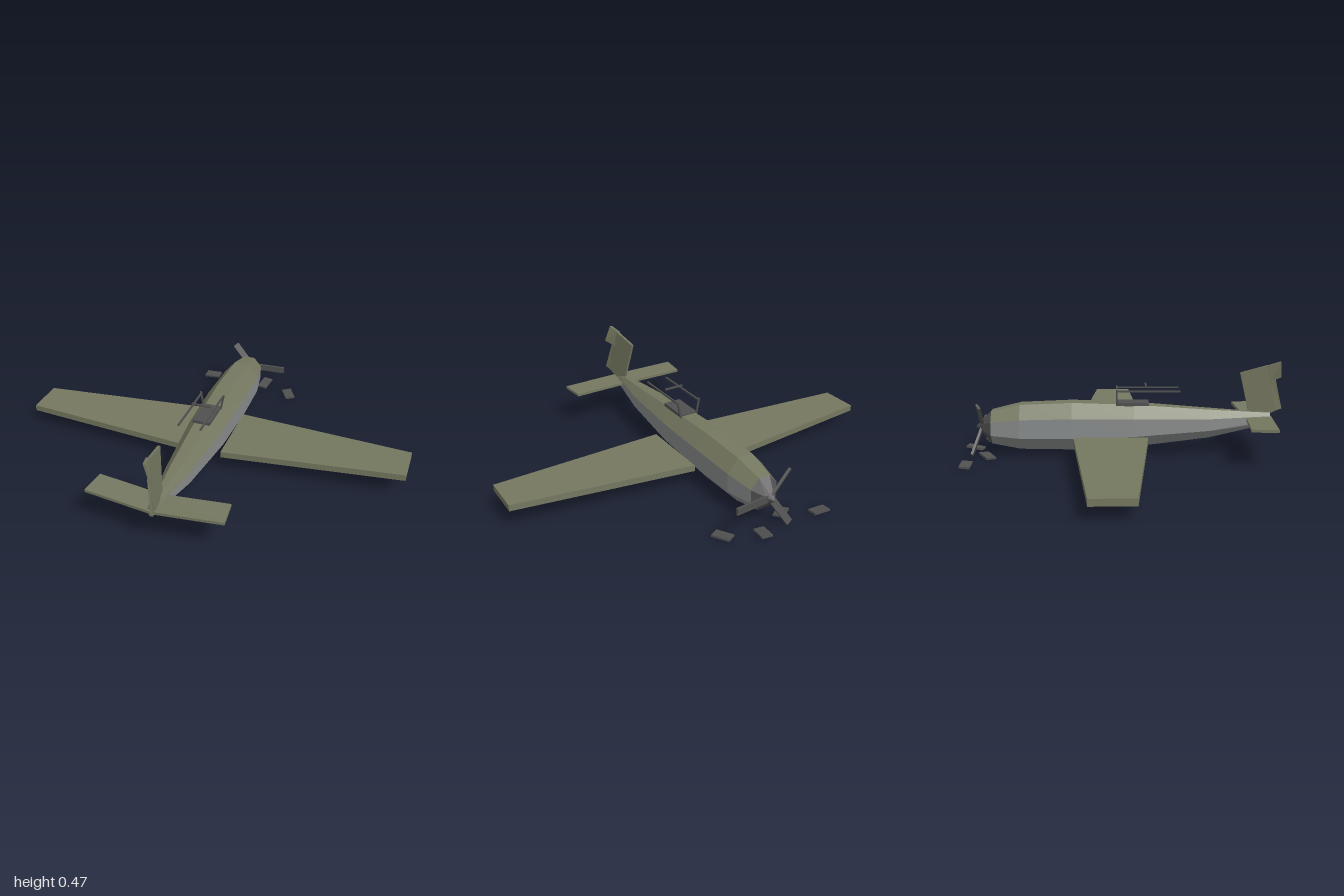
import * as THREE from 'three';

const mat = (name, color) => {
  const m = new THREE.MeshStandardMaterial({ color, flatShading: true, side: THREE.DoubleSide });
  m.name = name;
  return m;
};

export function createModel() {
  const olive = mat('olive', 0x757860);
  const grey = mat('pale grey', 0x8a8d8d);
  const dark = mat('dark grey', 0x505050);
  const shade = mat('charcoal', 0x484844);
  const model = new THREE.Group();
  model.name = 'wreckedPlane';

  const add = (name, geometry, material, parent = model) => {
    const mesh = new THREE.Mesh(geometry, material);
    mesh.name = name;
    parent.add(mesh);
    return mesh;
  };

  // flat-shaded geometry from a list of corner points, three per face
  const faces = (points) => {
    const g = new THREE.BufferGeometry().setFromPoints(points);
    g.computeVertexNormals();
    return g;
  };
  const fan = (p) => {
    const out = [];
    for (let i = 1; i < p.length - 1; i++) out.push(p[0], p[i], p[i + 1]);
    return out;
  };

  // flat panel: outer outline plus an offset through its thickness
  const slab = (name, outline, offset, topMat, backMat) => {
    let p = outline.map((a) => new THREE.Vector3(...a));
    const off = new THREE.Vector3(...offset);
    const n = p[1].clone().sub(p[0]).cross(p[2].clone().sub(p[0]));
    if (n.dot(off) > 0) p = p.reverse();
    const q = p.map((v) => v.clone().add(off));
    const skin = fan(p);
    p.forEach((v, i) => {
      const j = (i + 1) % p.length;
      skin.push(...fan([v, q[i], q[j], p[j]]));
    });
    const group = new THREE.Group();
    group.name = name;
    add(name + 'Skin', faces(skin), topMat, group);
    add(name + 'Back', faces(fan(q.slice().reverse())), backMat, group);
    model.add(group);
  };

  // thin square bar between two points
  const bar = (name, a, b, size, material) => {
    const from = new THREE.Vector3(...a), to = new THREE.Vector3(...b);
    const m = add(name, new THREE.BoxGeometry(size, size, from.distanceTo(to)), material);
    m.position.copy(from).add(to).multiplyScalar(0.5);
    m.lookAt(to);
  };

  // octagonal cross-section
  const ring = ([z, w, cy, h]) => Array.from({ length: 8 }, (_, k) => {
    const a = (k + 0.5) * Math.PI / 4, r = 1 / Math.cos(Math.PI / 8);
    return new THREE.Vector3(Math.cos(a) * w * r, cy + Math.sin(a) * h * r, z);
  });
  const panel = (a, b, k) => {
    const j = (k + 1) % 8;
    return fan([a[k], a[j], b[j], b[k]]);
  };

  // fuselage: olive upper panels, grey sides and belly, one burnt panel
  const stations = [
    [-0.665, 0.07, 0.143, 0.083],
    [-0.52, 0.095, 0.147, 0.113],
    [-0.26, 0.1, 0.15, 0.12],
    [0.05, 0.092, 0.151, 0.108],
    [0.43, 0.06, 0.158, 0.072],
    [0.74, 0.016, 0.181, 0.028],
  ].map(ring);
  const upper = [], lower = [], burnt = [];
  for (let s = 0; s < stations.length - 1; s++) {
    for (let k = 0; k < 8; k++) {
      const target = k < 3 ? upper : (k === 6 && s === 3 ? burnt : lower);
      target.push(...panel(stations[s], stations[s + 1], k));
    }
  }
  upper.push(...fan(stations[5]));
  add('fuselageTop', faces(upper), olive);
  add('fuselageBelly', faces(lower), grey);
  add('burntPanel', faces(burnt), shade);

  // nose cone
  const nose = [[-0.746, 0.001, 0.143, 0.001], [-0.715, 0.028, 0.143, 0.03], [-0.665, 0.07, 0.143, 0.083]].map(ring);
  const noseFaces = [];
  for (let s = 0; s < 2; s++) for (let k = 0; k < 8; k++) noseFaces.push(...panel(nose[s], nose[s + 1], k));
  add('noseCone', faces(noseFaces), dark);

  // wings (the right one droops) and tailplane
  for (const [side, name, tipY] of [[1, 'left', 0.139], [-1, 'right', 0.1]]) {
    slab(name + 'Wing', [
      [side * 0.1, 0.106, -0.252], [side * 0.1, 0.106, 0.12],
      [side, tipY, 0.042], [side, tipY, -0.155],
    ], [0, -0.032, 0], olive, grey);
    slab(name + 'Tailplane', [
      [0, 0.188, 0.62], [0, 0.188, 0.75],
      [side * 0.331, 0.199, 0.722], [side * 0.318, 0.199, 0.593],
    ], [0, -0.014, 0], olive, grey);
  }

  // fin and rudder, bent sideways
  const fin = (z, y) => [0.14 * (z - 0.65) - 0.09 * (y - 0.22), y, z];
  const thick = [0.012, 0, 0];
  slab('fin', [fin(0.635, 0.2), fin(0.58, 0.418), fin(0.722, 0.453), fin(0.775, 0.215), fin(0.74, 0.2)], thick, olive, olive);
  slab('lowerRudder', [fin(0.775, 0.215), fin(0.739, 0.37), fin(0.765, 0.377), [0.028, 0.224, 0.806]], thick, olive, olive);
  slab('upperRudder', [[-0.018, 0.453, 0.722], [-0.002, 0.47, 0.79], [0.028, 0.385, 0.8], [0, 0.368, 0.737]], thick, olive, olive);

  // cockpit floor and remains of the canopy frame
  add('cockpitFloor', new THREE.BoxGeometry(0.09, 0.016, 0.165), dark).position.set(0, 0.261, 0.043);
  for (const side of [-1, 1]) {
    bar('canopyPost', [side * 0.045, 0.255, -0.036], [side * 0.062, 0.338, -0.036], 0.008, dark);
    bar('canopyRail', [side * 0.056, 0.33, -0.036], [side * 0.056, 0.33, 0.28], 0.008, dark);
  }
  bar('canopyCrossbar', [-0.052, 0.352, 0.11], [0.048, 0.352, 0.11], 0.008, dark);

  // bent propeller blades
  const hub = new THREE.Vector3(0, 0.143, -0.715);
  const blades = [
    [[0.19, 0.143, -0.727], 0],
    [[-0.1, 0.265, -0.718], 0.6],
    [[-0.078, 0.012, -0.76], -0.5],
  ];
  for (const [tip, twist] of blades) {
    const end = new THREE.Vector3(...tip);
    const m = add('propellerBlade', new THREE.BoxGeometry(0.012, 0.034, hub.distanceTo(end)), dark);
    m.position.copy(hub).add(end).multiplyScalar(0.5);
    m.lookAt(end);
    m.rotateZ(twist);
  }

  // broken blade pieces on the ground
  const shards = [[-0.253, -0.76, 0], [-0.095, -0.68, 0.6], [0.072, -0.765, 1.4], [0.235, -0.69, -1.05]];
  for (const [x, z, turn] of shards) {
    const m = add('bladeShard', new THREE.BoxGeometry(0.088, 0.01, 0.052), dark);
    m.position.set(x, 0.014, z);
    m.rotation.set(0.1, turn, 0.06);
  }
  return model;
}
